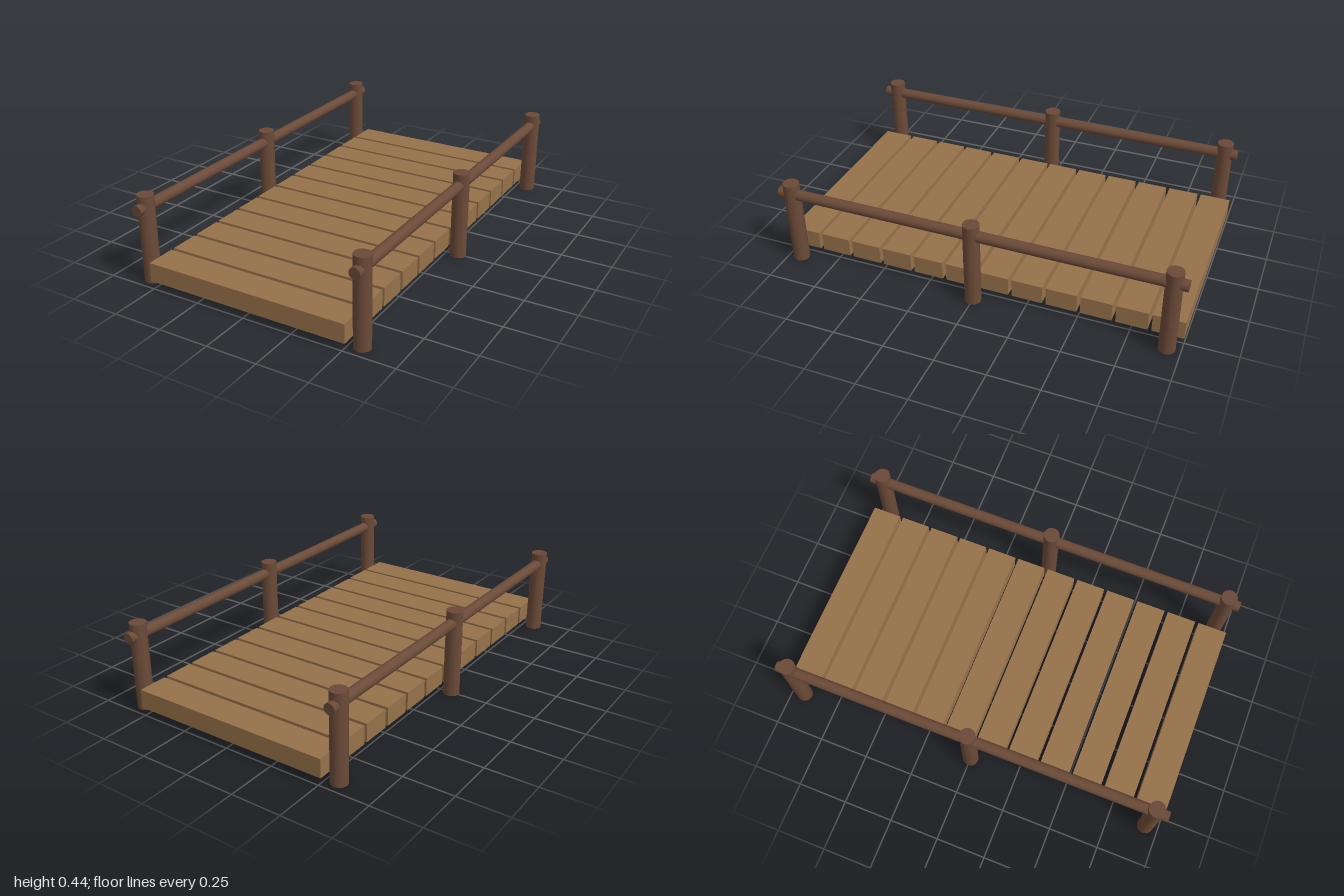
import * as THREE from 'three';

const PLANKS = 12, PLANK_DEPTH = 0.15, LENGTH = 2;
const SIDE_X = 0.56, POST_HEIGHT = 0.437;

export function createModel() {
  const bridge = new THREE.Group();
  bridge.name = 'footbridge';
  const plankWood = new THREE.MeshStandardMaterial({ color: 0x96714a });
  const postWood = new THREE.MeshStandardMaterial({ color: 0x6b4a38 });

  const add = (name, geometry, material, x, y, z) => {
    const mesh = new THREE.Mesh(geometry, material);
    mesh.name = name;
    mesh.position.set(x, y, z);
    bridge.add(mesh);
  };

  // Deck of evenly spaced planks
  const plank = new THREE.BoxGeometry(1.025, 0.093, PLANK_DEPTH);
  const pitch = (LENGTH - PLANK_DEPTH) / (PLANKS - 1);
  for (let i = 0; i < PLANKS; i++) {
    add('plank', plank, plankWood, 0, 0.084, (i - (PLANKS - 1) / 2) * pitch);
  }

  // Three posts and one handrail along each side
  const post = new THREE.CylinderGeometry(0.04, 0.04, POST_HEIGHT, 20);
  const rail = new THREE.CylinderGeometry(0.027, 0.027, LENGTH, 20).rotateX(Math.PI / 2);
  for (const [side, sign] of [['left', 1], ['right', -1]]) {
    for (const z of [-0.935, 0, 0.935]) {
      add(side + 'Post', post, postWood, sign * SIDE_X, POST_HEIGHT / 2, z);
    }
    add(side + 'Handrail', rail, postWood, sign * SIDE_X, 0.376, 0);
  }

  return bridge;
}
